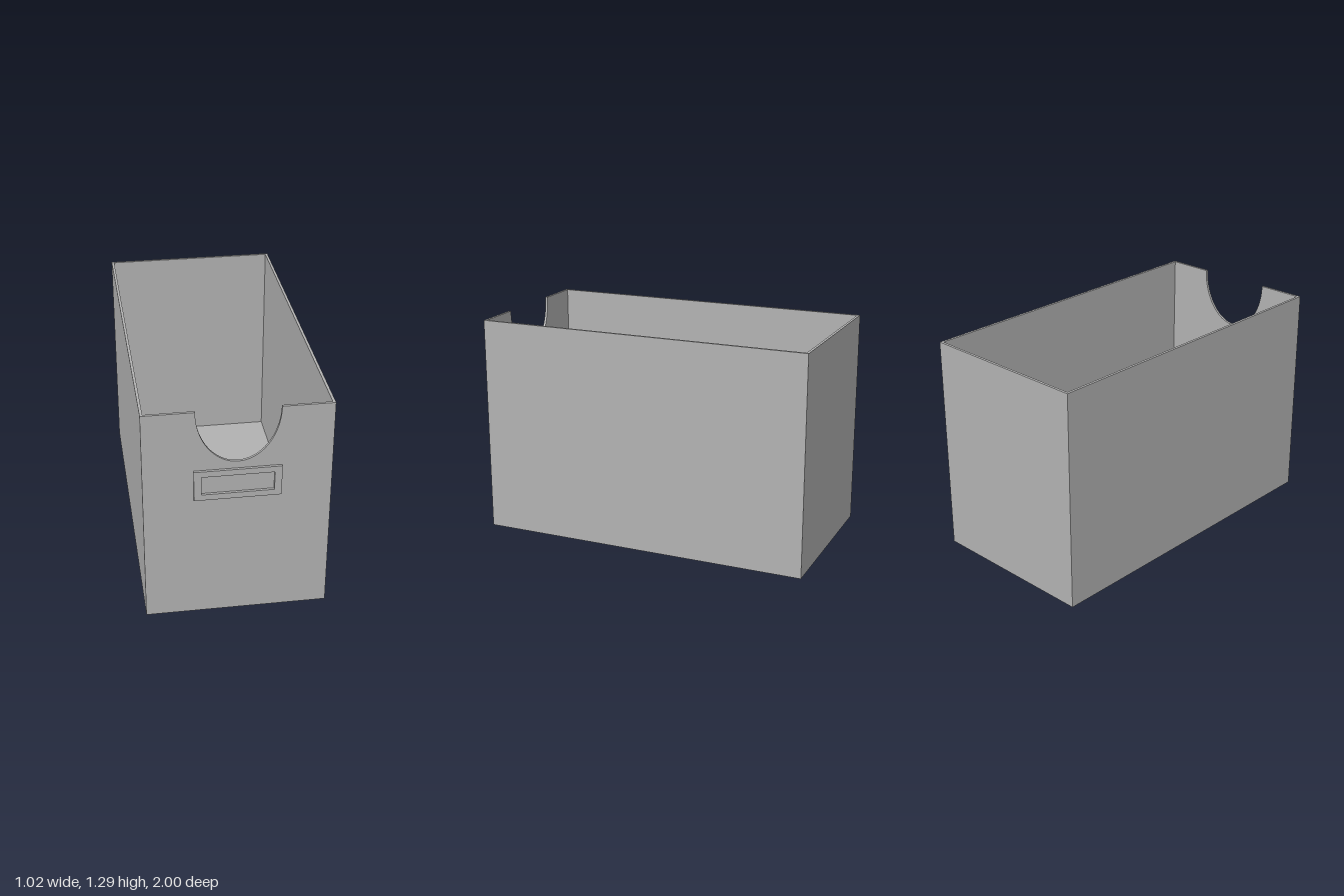
import * as THREE from 'three';

const W = 0.51;        // half width
const H = 1.29;        // height
const BACK = -1, FRONT = 0.985;
const T = 0.015;       // board thickness

export function createModel() {
  const group = new THREE.Group();
  group.name = 'storageBox';
  const grey = new THREE.MeshStandardMaterial({ color: 0xb2b2b2 });
  grey.name = 'grey board';

  const add = (name, geometry, x, y, z) => {
    const mesh = new THREE.Mesh(geometry, grey);
    mesh.name = name;
    mesh.position.set(x, y, z);
    group.add(mesh);
  };
  const extrude = (shape, depth) =>
    new THREE.ExtrudeGeometry(shape, { depth, bevelEnabled: false, curveSegments: 48 });

  // Floor, side walls and back wall
  const innerLength = FRONT - BACK - 2 * T;
  const midZ = (FRONT + BACK) / 2;
  add('floor', new THREE.BoxGeometry(2 * (W - T), T, innerLength), 0, T / 2, midZ);
  for (const [name, s] of [['leftWall', 1], ['rightWall', -1]]) {
    add(name, new THREE.BoxGeometry(T, H, innerLength), s * (W - T / 2), H / 2, midZ);
  }
  add('backWall', new THREE.BoxGeometry(2 * W, H, T), 0, H / 2, BACK + T / 2);

  // Front wall with a half-oval hand cutout in its top edge
  const front = new THREE.Shape();
  front.moveTo(-W, 0);
  front.lineTo(W, 0);
  front.lineTo(W, H);
  front.lineTo(0.227, H);
  front.absellipse(0, H, 0.227, 0.313, 0, Math.PI, true);
  front.lineTo(-W, H);
  front.closePath();
  add('frontWall', extrude(front, T), 0, 0, FRONT - T);

  // Label holder: raised rectangular frame
  const rect = (path, w, h) => path.setFromPoints(
    [[-w, -h], [w, -h], [w, h], [-w, h]].map(([x, y]) => new THREE.Vector2(x, y)));
  const frame = rect(new THREE.Shape(), 0.237, 0.09);
  frame.holes.push(rect(new THREE.Path(), 0.197, 0.055));
  add('labelFrame', extrude(frame, 1 - FRONT), -0.001, 0.845, FRONT);

  return group;
}
